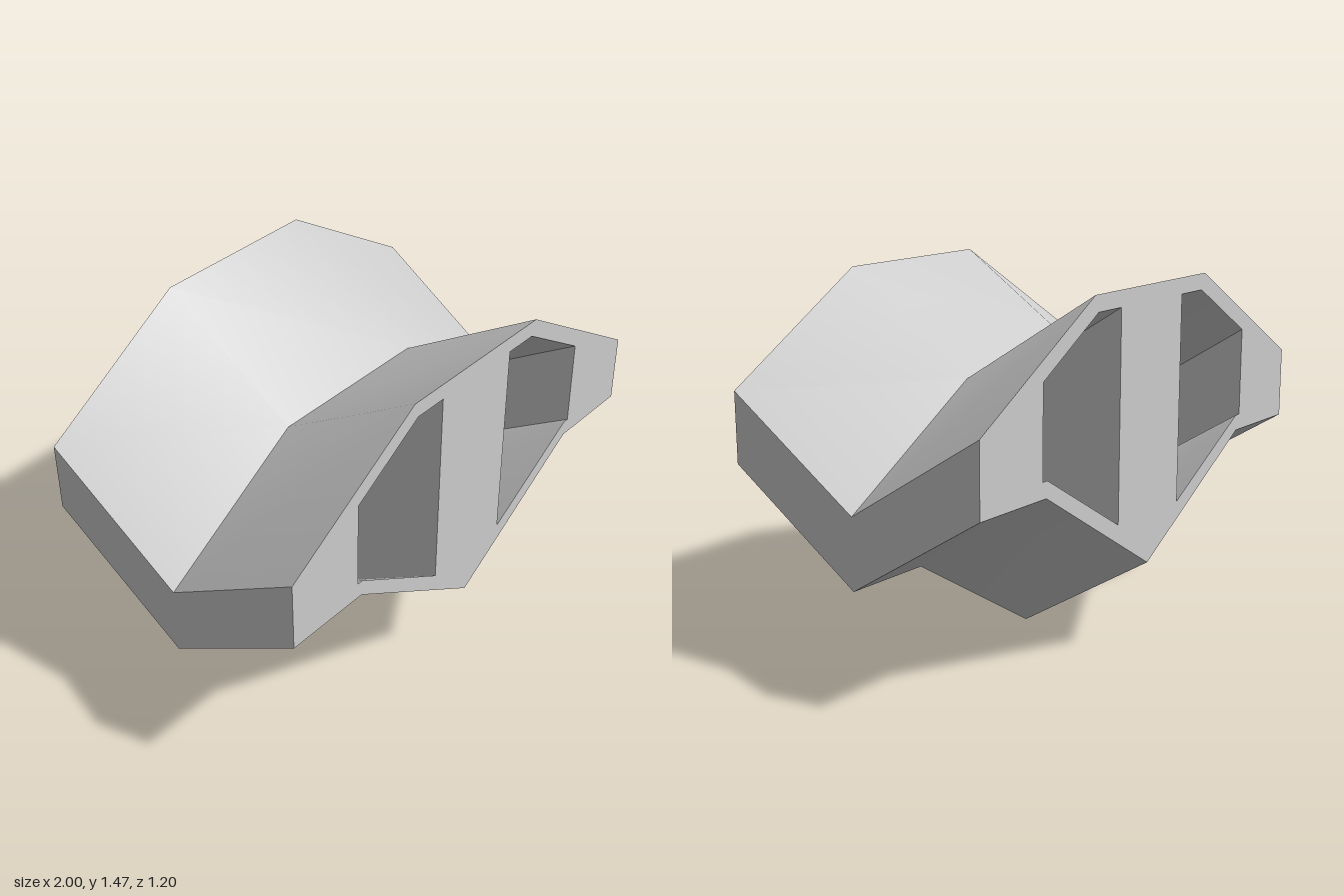
import * as THREE from 'three';
import { toCreasedNormals } from 'three/addons/utils/BufferGeometryUtils.js';

const HALF_DEPTH = 0.6;
const RISE = 0.378 / HALF_DEPTH; // how steeply the body climbs away from its middle

const points = (list) => list.map(([x, y]) => new THREE.Vector2(x, y));
const mirror = (list) => list.map(([x, y]) => [-x, y]).reverse();

export function createModel() {
  const model = new THREE.Group();
  model.name = 'chevronBlock';
  const grey = new THREE.MeshStandardMaterial({ color: 0xcccccc });
  grey.name = 'light grey';

  // Cross-section at the central fold: pointed keel, side shelves, bevelled roof
  const half = [[0.64, 0.405], [1, 0.405], [1, 0.688], [0.36, 1.087]];
  const profile = new THREE.Shape(points([[0, 0], ...half, ...mirror(half)]));

  // Two openings on either side of the central pillar
  const opening = [[0.2, 0.2], [0.635, 0.469], [0.66, 0.469], [0.66, 0.823], [0.34, 1.023], [0.2, 1.023]];
  for (const outline of [opening, mirror(opening)]) {
    profile.holes.push(new THREE.Path(points(outline)));
  }

  // Extrude front to back, then fold the body into a V
  let body = new THREE.ExtrudeGeometry(profile, { depth: HALF_DEPTH * 2, steps: 2, bevelEnabled: false });
  body.translate(0, 0, -HALF_DEPTH);
  const pos = body.attributes.position;
  for (let i = 0; i < pos.count; i++) {
    pos.setY(i, pos.getY(i) + Math.abs(pos.getZ(i)) * RISE);
  }
  body = toCreasedNormals(body, THREE.MathUtils.degToRad(30));

  const mesh = new THREE.Mesh(body, grey);
  mesh.name = 'foldedBody';
  model.add(mesh);
  return model;
}
